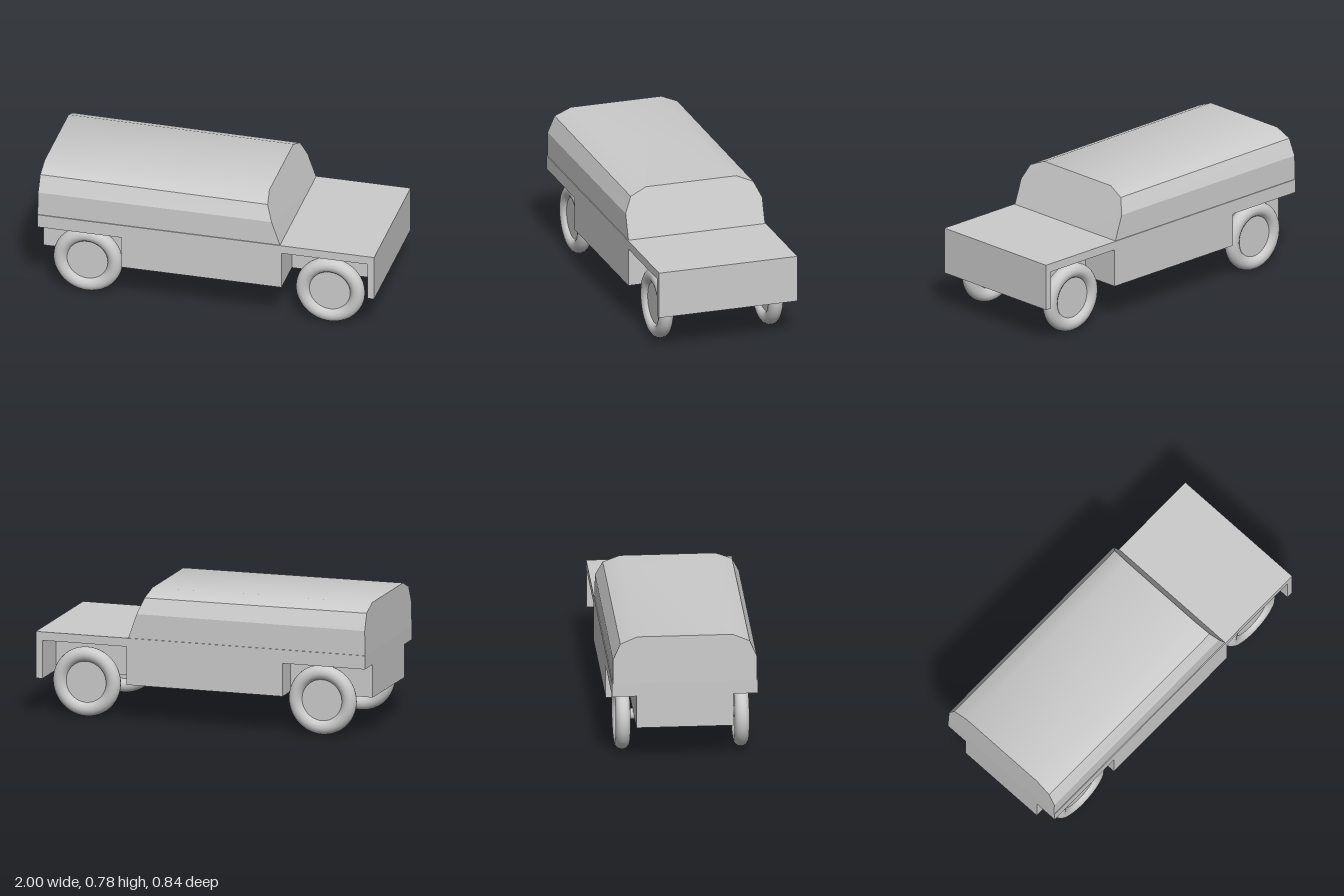
import * as THREE from 'three';
import { toCreasedNormals } from 'three/addons/utils/BufferGeometryUtils.js';

const material = new THREE.MeshStandardMaterial({ color: 0xcccccc });

function add(parent, name, geometry, x = 0, y = 0, z = 0) {
  const mesh = new THREE.Mesh(geometry, material);
  mesh.name = name;
  mesh.position.set(x, y, z);
  parent.add(mesh);
  return mesh;
}

const toShape = (points) => new THREE.Shape(points.map(([x, y]) => new THREE.Vector2(x, y)));

// Side profile of the lower body, with the wheel arches cut out as asked
function bodyProfile(frontArch, rearArch) {
  const rear = rearArch ? [[-1, 0.42], [-0.5, 0.42], [-0.5, 0.225]] : [[-1, 0.225]];
  const front = frontArch ? [[0.45, 0.225], [0.45, 0.45], [0.96, 0.45], [0.96, 0.225]] : [];
  return toShape([...rear, ...front, [1, 0.225], [1, 0.5], [-1, 0.5]]);
}

// Lower body in lengthwise slabs: the front arches reach deeper than the rear ones
function createBody() {
  const body = new THREE.Group();
  body.name = 'lowerBody';
  const slab = (name, shape, z0, z1) =>
    add(body, name, new THREE.ExtrudeGeometry(shape, { depth: z1 - z0, bevelEnabled: false }), 0, 0, z0);
  slab('bodyCore', bodyProfile(false, false), -0.18, 0.18);
  const inner = bodyProfile(true, false);
  const outer = bodyProfile(true, true);
  slab('leftInnerFlank', inner, 0.18, 0.28);
  slab('rightInnerFlank', inner, -0.28, -0.18);
  slab('leftFlank', outer, 0.28, 0.42);
  slab('rightFlank', outer, -0.42, -0.28);
  return body;
}

// Cabin: chamfered cross-section swept along x, with a raked windscreen
function createCabinGeometry() {
  const half = [[0.415, 0.5], [0.415, 0.645], [0.373, 0.741], [0.275, 0.783]];
  const mirrored = half.map(([z, y]) => [-z, y]).reverse();
  const geometry = new THREE.ExtrudeGeometry(toShape([...half, ...mirrored]), { depth: 1, bevelEnabled: false });
  geometry.rotateY(Math.PI / 2);
  const p = geometry.attributes.position;
  for (let i = 0; i < p.count; i++) {
    const y = p.getY(i);
    if (p.getX(i) > 0.5) {
      p.setX(i, 0.44 - (y - 0.5) * 0.35);
      if (y > 0.7) p.setY(i, y - 0.007);
    } else {
      p.setX(i, -1 + (y - 0.5) * 0.02);
    }
  }
  return toCreasedNormals(geometry, 0.412);
}

// Axle with a tyre and a flat hub disc at each end
function createWheelPair(name, x, leftZ, rightZ) {
  const pair = new THREE.Group();
  pair.name = name;
  pair.position.set(x, 0.207, 0);
  const axle = new THREE.CylinderGeometry(0.032, 0.032, leftZ - rightZ, 24).rotateX(Math.PI / 2);
  add(pair, 'axle', axle, 0, 0, (leftZ + rightZ) / 2);
  for (const [side, z] of [['left', leftZ], ['right', rightZ]]) {
    add(pair, side + 'Tyre', new THREE.TorusGeometry(0.161, 0.043, 16, 48), 0, 0, z);
    add(pair, side + 'Hub', new THREE.CylinderGeometry(0.13, 0.13, 0.03, 48).rotateX(Math.PI / 2), 0, 0, z);
  }
  return pair;
}

export function createModel() {
  const model = new THREE.Group();
  model.name = 'offRoadCar';
  model.add(createBody());
  add(model, 'cabin', createCabinGeometry());
  model.add(createWheelPair('frontWheels', 0.72, 0.338, -0.329));
  model.add(createWheelPair('rearWheels', -0.72, 0.338, -0.348));
  return model;
}
